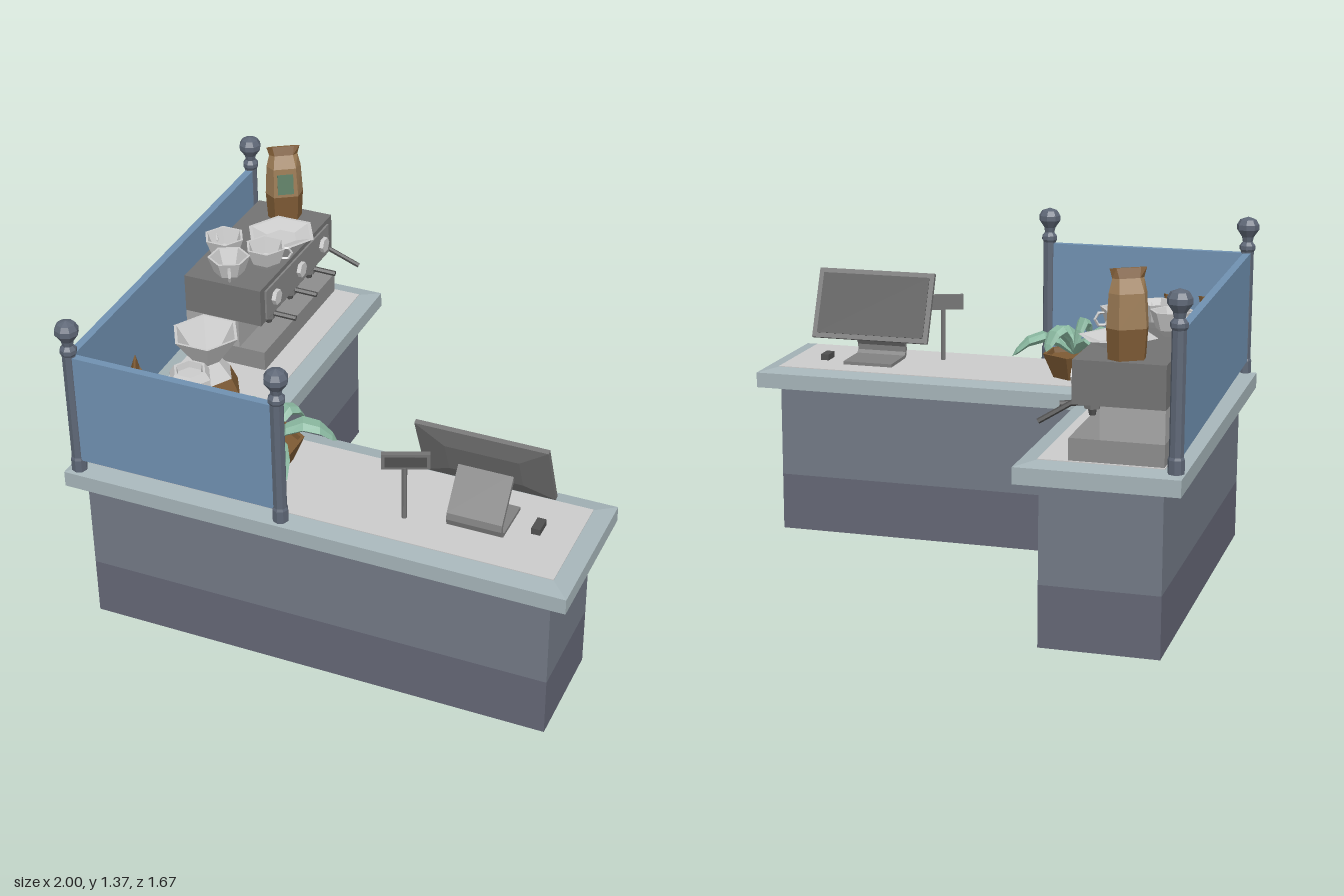
import * as THREE from 'three';

const mat = (color, double = false) => new THREE.MeshStandardMaterial({
  color, flatShading: true, side: double ? THREE.DoubleSide : THREE.FrontSide });
const BODY = 0x727985, PLINTH = 0x646675, EDGE = 0xa5b4b8, POST = 0x5e6776, GLASS = 0x6f90b0;
const METAL = 0xa6a6a6, DARK = 0x737373, BLACK = 0x505050, WHITE = 0xcccccc;
const PAPER = 0x9a7a54, BROWN = 0x7d5a34, LEAF = 0x8ab8a0, LABEL = 0x5f7f66;

// Closed solid through rings of [x, z] points, each ring at its own height
function loft(rings) {
  const pos = [], n = rings[0].pts.length;
  const put = (r, j) => pos.push(r.pts[j % n][0], r.y, r.pts[j % n][1]);
  for (let i = 0; i < rings.length - 1; i++) {
    const a = rings[i], b = rings[i + 1];
    for (let j = 0; j < n; j++) {
      put(a, j); put(a, j + 1); put(b, j + 1);
      put(a, j); put(b, j + 1); put(b, j);
    }
  }
  const cap = (r, flip) => {
    const flat = r.pts.map(p => new THREE.Vector2(p[0], -p[1]));
    for (const t of THREE.ShapeUtils.triangulateShape(flat, []))
      (flip ? [t[2], t[1], t[0]] : t).forEach(k => put(r, k));
  };
  cap(rings[0], true);
  cap(rings[rings.length - 1], false);
  const g = new THREE.BufferGeometry();
  g.setAttribute('position', new THREE.Float32BufferAttribute(pos, 3));
  g.computeVertexNormals();
  return g;
}

function add(parent, name, geo, color, x = 0, y = 0, z = 0, double = false) {
  const m = new THREE.Mesh(geo, mat(color, double));
  m.name = name;
  m.position.set(x, y, z);
  parent.add(m);
  return m;
}

function group(parent, name, x = 0, y = 0, z = 0, turn = 0) {
  const g = new THREE.Group();
  g.name = name;
  g.position.set(x, y, z);
  g.rotation.y = turn;
  parent.add(g);
  return g;
}

// Box given by its limits on each axis
const box = (p, name, color, x0, x1, y0, y1, z0, z1) =>
  add(p, name, new THREE.BoxGeometry(x1 - x0, y1 - y0, z1 - z0), color,
    (x0 + x1) / 2, (y0 + y1) / 2, (z0 + z1) / 2);

const lathe = (pts, sides) =>
  new THREE.LatheGeometry(pts.map(p => new THREE.Vector2(p[0], p[1])), sides);

// Thin rod between two points
function rod(p, name, color, a, b, r) {
  const A = new THREE.Vector3(...a), B = new THREE.Vector3(...b), d = B.clone().sub(A);
  const m = add(p, name, new THREE.CylinderGeometry(r, r, d.length(), 6), color);
  m.position.copy(A).add(B).multiplyScalar(0.5);
  m.quaternion.setFromUnitVectors(new THREE.Vector3(0, 1, 0), d.normalize());
  return m;
}

// L-shaped outline of the counter, shrunk by an inset
const ell = i => [[-0.968 + i, 0.82 - i], [1 - i, 0.82 - i], [1 - i, 0.235 + i],
  [-0.39 - i, 0.235 + i], [-0.39 - i, -0.84 + i], [-0.985 + i, -0.84 + i]];

function counter(root) {
  const g = group(root, 'counter');
  const body = [[-0.91, 0.755], [0.925, 0.755], [0.925, 0.315], [-0.465, 0.315], [-0.465, -0.76], [-0.91, -0.76]];
  add(g, 'counterPlinth', loft([{ pts: body, y: 0 }, { pts: body, y: 0.235 }]), PLINTH);
  add(g, 'counterBody', loft([{ pts: body, y: 0.235 }, { pts: body, y: 0.63 }]), BODY);
  add(g, 'worktopEdge', loft([{ pts: ell(0), y: 0.62 }, { pts: ell(0), y: 0.682 }, { pts: ell(0.07), y: 0.696 }]), EDGE);
  add(g, 'worktop', loft([{ pts: ell(0.071), y: 0.69 }, { pts: ell(0.071), y: 0.699 }]), WHITE);
}

function screenFence(root) {
  const g = group(root, 'fence');
  const profile = [[0, 0], [0.03, 0], [0.03, 0.05], [0.026, 0.06], [0.026, 0.5], [0.032, 0.51], [0.032, 0.525],
    [0.02, 0.54], [0.024, 0.56], [0.045, 0.59], [0.045, 0.61], [0.033, 0.63], [0, 0.642]];
  for (const [x, z] of [[-0.955, -0.785], [-0.92, 0.785], [-0.095, 0.785]])
    add(g, 'post', lathe(profile, 8), POST, x, 0.69, z, true);
  box(g, 'frontPane', GLASS, -0.9, -0.11, 0.74, 1.185, 0.77, 0.8);
  const side = box(g, 'sidePane', GLASS, -0.9525, -0.9225, 0.74, 1.185, -0.775, 0.775);
  side.rotation.y = 0.022;
}

function coffeeMachine(root) {
  const g = group(root, 'coffeeMachine');
  box(g, 'machineBase', 0x8c8c8c, -0.91, -0.57, 0.695, 0.78, -0.76, -0.08);
  box(g, 'machineBack', METAL, -0.91, -0.68, 0.78, 0.9, -0.76, -0.08);
  box(g, 'machineHead', DARK, -0.91, -0.58, 0.9, 1.058, -0.76, -0.08);
  box(g, 'controlPanel', 0x858585, -0.582, -0.572, 0.912, 1.038, -0.715, -0.12);
  for (const z of [-0.195, -0.43, -0.65]) {
    const k = add(g, 'dial', new THREE.CylinderGeometry(0.032, 0.032, 0.02, 6), WHITE, -0.565, 0.977, z);
    k.rotation.z = Math.PI / 2;
  }
  for (const z of [-0.23, -0.43, -0.615]) {
    add(g, 'brewHead', new THREE.CylinderGeometry(0.032, 0.03, 0.05, 6), DARK, -0.62, 0.88, z);
    add(g, 'spout', new THREE.CylinderGeometry(0.018, 0.012, 0.03, 6), BLACK, -0.62, 0.845, z);
    rod(g, 'brewHandle', BLACK, [-0.6, 0.875, z], [-0.505, 0.865, z - 0.012], 0.011);
  }
  rod(g, 'steamWand', BLACK, [-0.59, 0.91, -0.74], [-0.465, 0.835, -0.775], 0.01);
}

function crockery(root) {
  const cup = [[0, 0], [0.035, 0], [0.06, 0.025], [0.084, 0.092], [0.074, 0.092], [0.05, 0.03], [0, 0.018]];
  for (const [x, z, turn] of [[-0.83, -0.28, 2.6], [-0.645, -0.275, 0.5], [-0.74, -0.14, -1.1]]) {
    const g = group(root, 'cup', x, 1.058, z, turn);
    add(g, 'cupBowl', lathe(cup, 6), WHITE, 0, 0, 0, true);
    add(g, 'cupHandle', new THREE.TorusGeometry(0.026, 0.006, 4, 6), WHITE, 0.076, 0.052, 0);
  }
  const dish = add(root, 'dish', lathe([[0, 0], [0.07, 0], [0.145, 0.032], [0.13, 0.032], [0.065, 0.01], [0, 0.01]], 6),
    WHITE, -0.68, 1.058, -0.49, true);
  dish.rotation.y = Math.PI / 6;
}

// Paper bag with a pinched, flared top
function bag(root, x, y, z, turn) {
  const g = group(root, 'coffeeBag', x, y, z, turn);
  const ring = (h, w, d) => ({ y: h, pts: [[w, 0], [w * 0.65, -d], [-w * 0.65, -d], [-w, 0], [-w * 0.65, d], [w * 0.65, d]] });
  const waist = ring(0.11, 0.077, 0.054);
  add(g, 'bagBottom', loft([ring(0, 0.07, 0.048), waist]), BROWN);
  add(g, 'bagBody', loft([waist, ring(0.23, 0.07, 0.04), ring(0.28, 0.058, 0.016)]), PAPER);
  add(g, 'bagFold', loft([ring(0.28, 0.058, 0.016), ring(0.315, 0.068, 0.004)]), BROWN);
  const label = add(g, 'bagLabel', new THREE.BoxGeometry(0.065, 0.085, 0.006), LABEL, 0, 0.165, 0.048);
  label.rotation.x = -0.116;
}

function brewers(root) {
  const g = group(root, 'pourOverBrewer', -0.715, 0.698, 0.13, Math.PI / 6);
  add(g, 'brewedCoffee', lathe([[0, 0], [0.138, 0], [0.104, 0.075]], 6), BROWN, 0, 0, 0, true);
  add(g, 'brewerGlass', lathe([[0.104, 0.075], [0.052, 0.14], [0.138, 0.262], [0.126, 0.262], [0.042, 0.14], [0, 0.13]], 6),
    WHITE, 0, 0, 0, true);
  const can = add(root, 'canister', lathe([[0, 0], [0.092, 0], [0.086, 0.235], [0.066, 0.265], [0.056, 0.265], [0.05, 0.24], [0, 0.24]], 6),
    WHITE, -0.65, 0.698, 0.39, true);
  can.rotation.y = Math.PI / 6;
}

// Thick arching leaf pointing along +z
function leafGeometry(len, width, rise, drop) {
  const geo = new THREE.SphereGeometry(1, 6, 6), p = geo.attributes.position;
  for (let i = 0; i < p.count; i++) {
    const t = (p.getY(i) + 1) / 2;
    p.setXYZ(i, -p.getX(i) * width * (0.65 + 0.4 * t),
      p.getZ(i) * 0.022 + rise * Math.sin(Math.PI * t * 0.85) - drop * t * t, t * len);
  }
  geo.computeVertexNormals();
  return geo;
}

function plant(root) {
  const cx = -0.28, cz = 0.48, g = group(root, 'plant', cx, 0.698, cz);
  add(g, 'plantPot', lathe([[0, 0], [0.085, 0], [0.13, 0.1], [0.115, 0.1], [0.11, 0.08], [0, 0.08]], 6), BROWN, 0, 0, 0, true);
  for (const [x, z, rise, drop] of [[-0.48, 0.31, 0.1, 0.05], [-0.05, 0.38, 0.09, 0.04], [-0.48, 0.65, 0.1, 0.06],
    [-0.13, 0.71, 0.09, 0.06], [-0.2, 0.34, 0.12, 0.02], [-0.33, 0.56, 0.13, 0]]) {
    const dx = x - cx, dz = z - cz, len = Math.hypot(dx, dz);
    const leaf = add(g, 'leaf', leafGeometry(len, 0.025 + len * 0.12, rise, drop), LEAF, 0, 0.09, 0);
    leaf.rotation.y = Math.atan2(dx, dz);
  }
}

function till(root) {
  const g = group(root, 'till');
  // Tilted monitor, built lying on its screen side
  const mon = group(g, 'monitor', 0.575, 0.937, 0.487);
  mon.rotation.x = 1.966;
  const rect = (w, d, y) => ({ y, pts: [[-w, d], [w, d], [w, -d], [-w, -d]] });
  add(mon, 'monitorCase', loft([rect(0.25, 0.147, -0.012), rect(0.25, 0.147, 0.006), rect(0.14, 0.07, 0.024)]), DARK);
  add(mon, 'monitorScreen', new THREE.BoxGeometry(0.46, 0.006, 0.255), BLACK, 0, -0.012, 0);
  // Bent strip stand, drawn as z and y
  const s = new THREE.Shape([[0.49, 0.915], [0.607, 0.76], [0.613, 0.735], [0.605, 0.71], [0.59, 0.698], [0.41, 0.698],
    [0.41, 0.712], [0.582, 0.712], [0.595, 0.725], [0.594, 0.748], [0.475, 0.905]].map(p => new THREE.Vector2(...p)));
  const stand = add(g, 'monitorStand', new THREE.ExtrudeGeometry(s, { depth: 0.21, bevelEnabled: false }), 0x808080, 0.685, 0, 0);
  stand.rotation.y = -Math.PI / 2;
  rod(g, 'displayPole', DARK, [0.315, 0.698, 0.613], [0.315, 0.92, 0.613], 0.01);
  const display = group(g, 'customerDisplay', 0.317, 0.945, 0.608, 0.39);
  add(display, 'displayCase', new THREE.BoxGeometry(0.175, 0.062, 0.022), DARK);
  add(display, 'displayFace', new THREE.BoxGeometry(0.15, 0.042, 0.004), BLACK, 0, 0, 0.011);
  box(g, 'mouse', BLACK, 0.768, 0.802, 0.698, 0.724, 0.46, 0.53);
}

export function createModel() {
  const root = new THREE.Group();
  root.name = 'cafeCounter';
  counter(root);
  screenFence(root);
  coffeeMachine(root);
  crockery(root);
  bag(root, -0.755, 1.058, -0.685, 0.57);
  bag(root, -0.815, 0.698, 0.51, -1.1);
  bag(root, -0.8, 0.698, 0.67, -0.5);
  bag(root, -0.64, 0.698, 0.665, -0.85);
  brewers(root);
  plant(root);
  till(root);
  return root;
}
